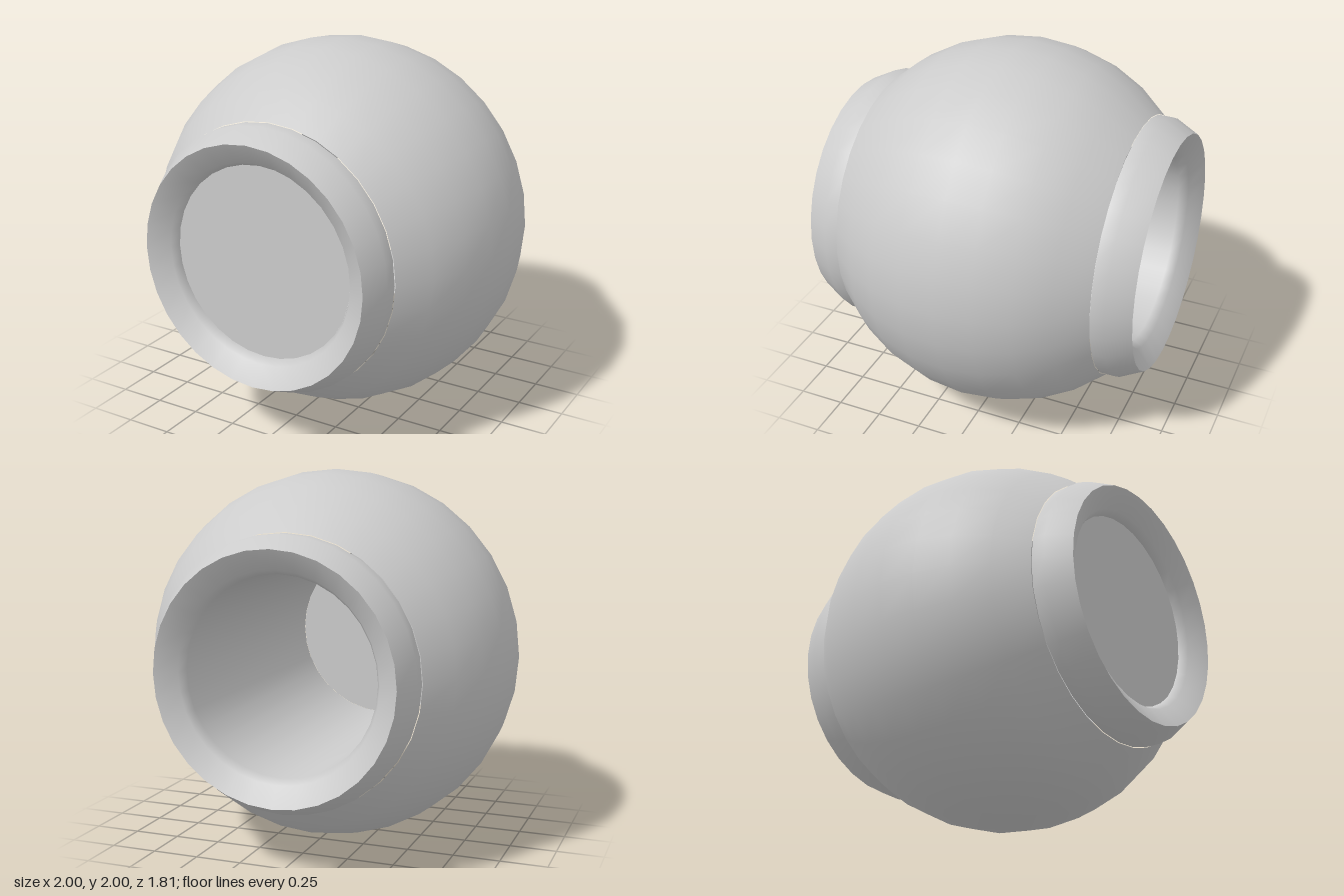
import * as THREE from 'three';

const SIDES = 32;
const material = new THREE.MeshStandardMaterial({ color: 0xcccccc });

// Turns a [radius, z] profile around the z axis
function turned(name, profile) {
  const points = profile.map(([r, z]) => new THREE.Vector2(r, z));
  const geometry = new THREE.LatheGeometry(points, SIDES);
  geometry.rotateX(Math.PI / 2);
  const mesh = new THREE.Mesh(geometry, material);
  mesh.name = name;
  return mesh;
}

export function createModel() {
  const model = new THREE.Group();
  model.name = 'bead';
  const body = new THREE.Group();
  body.name = 'body';
  body.position.y = 1;
  model.add(body);

  // Spherical shell, cut off at both collars
  const shell = [];
  for (let i = -4; i <= 4; i++) {
    const a = (i * Math.PI) / 16;
    shell.push([Math.cos(a), Math.sin(a)]);
  }
  body.add(turned('shell', shell));

  // Bevelled collars, front and back
  const collar = [[0.703, 0.707], [0.703, 0.78], [0.64, 0.905]];
  body.add(turned('frontCollar', collar));
  body.add(turned('backCollar', collar.map(([r, z]) => [r, -z]).reverse()));

  // Bore with a flared mouth at each end
  const mouth = [[0.64, 0.905], [0.535, 0.84], [0.51, 0.79]];
  body.add(turned('bore', [...mouth, ...mouth.map(([r, z]) => [r, -z]).reverse()]));

  // Flat disc closing the front of the bore
  const disc = new THREE.Mesh(
    new THREE.CircleGeometry(0.511, SIDES),
    new THREE.MeshStandardMaterial({ color: 0xcccccc, side: THREE.DoubleSide })
  );
  disc.name = 'frontDisc';
  disc.position.z = 0.795;
  body.add(disc);

  return model;
}
